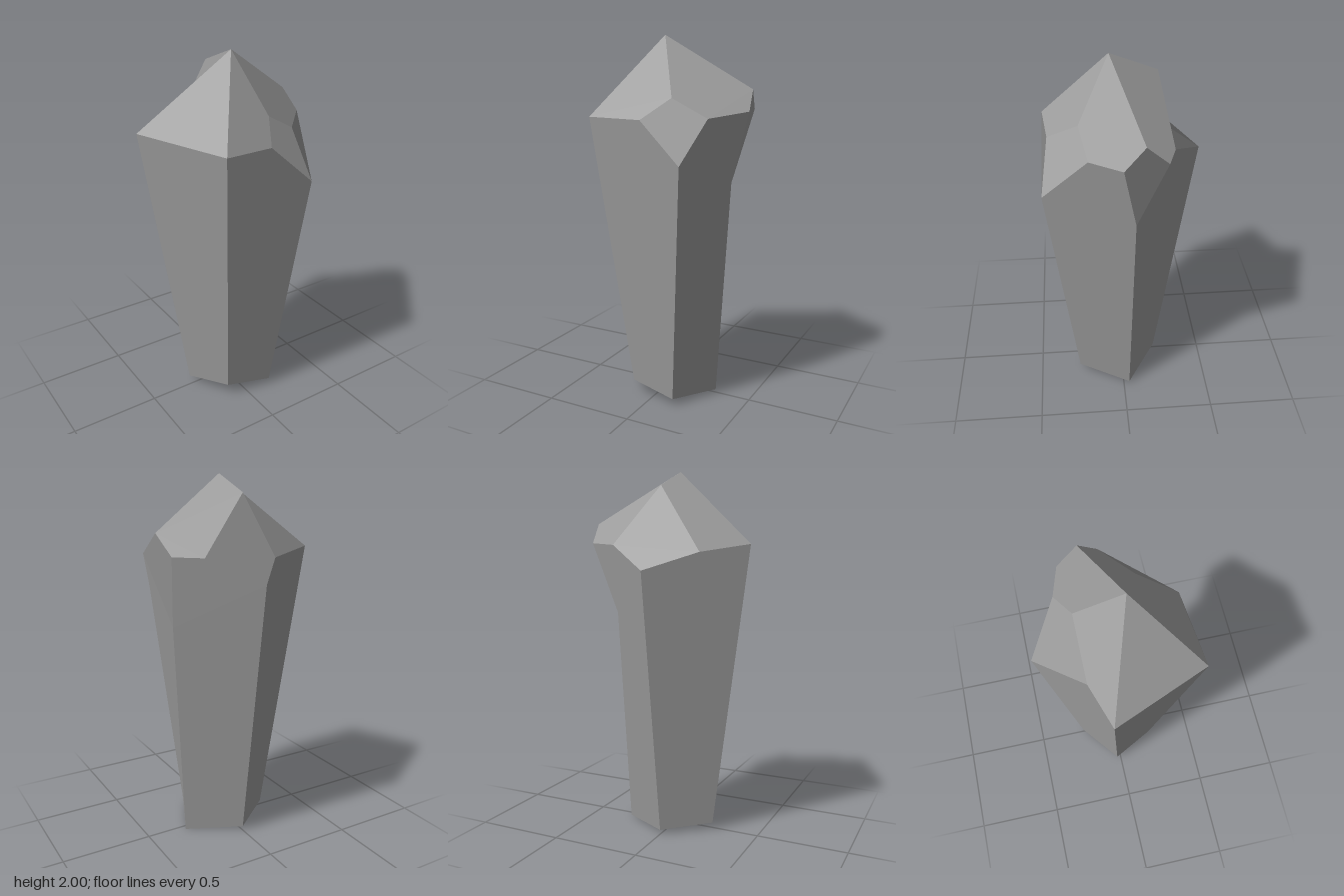
import * as THREE from 'three';

// Corners of the crystal: tip and crown, ridge, shoulder, then base
const P = {
  tip: [0, 2, 0.057],
  left: [-0.468, 1.605, -0.098],
  frontLeft: [-0.255, 1.585, 0.408],
  frontRight: [0.263, 1.36, 0.416],
  right: [0.468, 1.61, 0.02],
  back: [0, 1.472, -0.417],
  ridge: [0, 1.91, -0.185],
  backDip: [-0.215, 1.565, -0.175],
  frontDip: [0.025, 1.575, 0.38],
  sideDip: [0.308, 1.578, 0.18],
  hollow: [0.122, 1.68, 0.22],
  chipTop: [0.445, 1.72, -0.085],
  chipBack: [0.414, 1.612, -0.2],
  chipLow: [0.345, 1.22, -0.055],
  notch: [0.257, 1.602, -0.25],
  baseLeft: [-0.24, 0.04, -0.025],
  baseFrontLeft: [-0.12, 0.08, 0.22],
  baseFrontRight: [0.15, 0.04, 0.261],
  baseRight: [0.281, 0, -0.034],
  baseBack: [0, 0.025, -0.212],
};

// Facets as corner loops, counter-clockwise from outside; each is fanned from its first corner.
// A bar joins two loops into one facet.
const PARTS = {
  crystalShaft: [
    'frontRight frontDip frontLeft baseFrontLeft baseFrontRight',
    'frontRight baseFrontRight chipLow right sideDip | baseFrontRight baseRight chipLow',
    'chipLow baseRight baseBack back notch chipBack',
    'back baseBack baseLeft left backDip',
    'left baseLeft baseFrontLeft frontLeft',
  ],
  crystalCrown: [
    'tip left frontLeft',
    'frontLeft frontDip hollow tip',
    'frontDip frontRight sideDip hollow | sideDip right chipTop tip hollow'.split(' | ')[0],
    'chipTop tip hollow sideDip right',
    'chipTop chipBack notch ridge tip',
    'tip ridge backDip left',
    'notch back backDip ridge',
  ],
  chippedCorner: ['chipBack chipTop right chipLow'],
  crystalBase: ['baseLeft baseBack baseRight baseFrontRight baseFrontLeft'],
};
// The front crown facet folds between its two dips
PARTS.crystalCrown[2] = 'sideDip hollow frontDip frontRight';

// Every facet gets one shared normal, so slightly bent facets still read as single planes
function facetGeometry(facets) {
  const pos = [], nor = [];
  for (const facet of facets) {
    const n = new THREE.Vector3(), tris = [];
    for (const loop of facet.split(' | ')) {
      const pts = loop.split(' ').map((k) => new THREE.Vector3(...P[k]));
      for (let i = 1; i < pts.length - 1; i++) {
        const [a, b, c] = [pts[0], pts[i], pts[i + 1]];
        n.add(b.clone().sub(a).cross(c.clone().sub(a)));
        tris.push(a, b, c);
      }
    }
    n.normalize();
    for (const p of tris) {
      pos.push(p.x, p.y, p.z);
      nor.push(n.x, n.y, n.z);
    }
  }
  const g = new THREE.BufferGeometry();
  g.setAttribute('position', new THREE.Float32BufferAttribute(pos, 3));
  g.setAttribute('normal', new THREE.Float32BufferAttribute(nor, 3));
  return g;
}

export function createModel() {
  const group = new THREE.Group();
  group.name = 'crystal';
  const material = new THREE.MeshStandardMaterial({ color: 0x9c9c9c });
  for (const [name, facets] of Object.entries(PARTS)) {
    const mesh = new THREE.Mesh(facetGeometry(facets), material);
    mesh.name = name;
    group.add(mesh);
  }
  return group;
}
